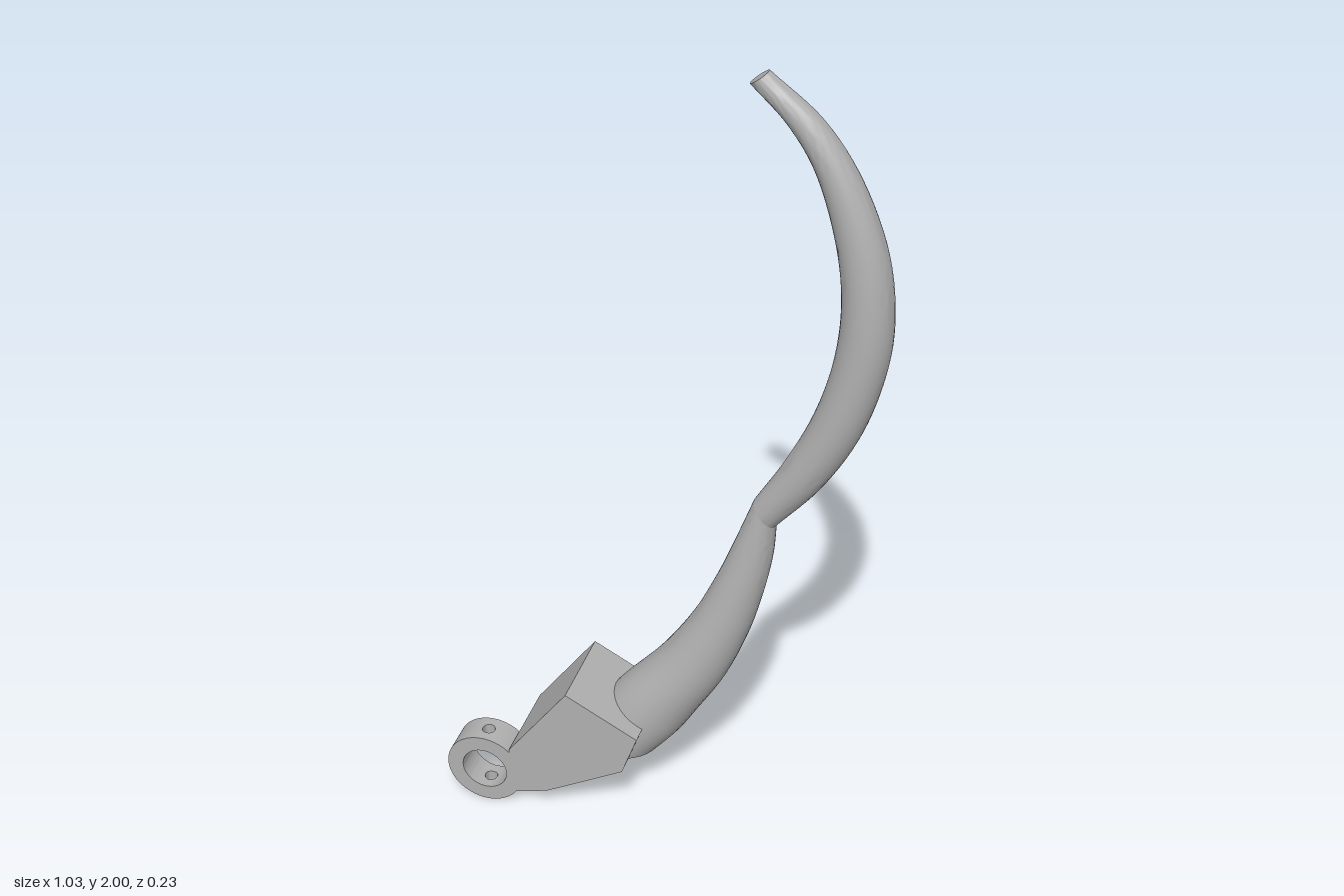
import * as THREE from 'three';
import { mergeGeometries, toCreasedNormals } from 'three/addons/utils/BufferGeometryUtils.js';

const TAU = Math.PI * 2;

// Skin a list of closed point loops; wrap joins the last loop to the first.
function skin(loops, wrap = false) {
  const n = loops[0].length, index = [];
  const rows = wrap ? loops.length : loops.length - 1;
  for (let i = 0; i < rows; i++) {
    const k = (i + 1) % loops.length;
    for (let j = 0; j < n; j++) {
      const m = (j + 1) % n;
      const a = i * n + j, b = k * n + j, c = i * n + m, d = k * n + m;
      index.push(a, b, c, b, d, c);
    }
  }
  const geometry = new THREE.BufferGeometry().setFromPoints(loops.flat());
  geometry.setIndex(index);
  geometry.computeVertexNormals();
  return geometry.toNonIndexed();
}

// Rod through stations [leftX, leftY, rightX, rightY, halfDepth], with end caps.
function rod(stations, steps, sides = 32) {
  const spline = (f) => new THREE.CatmullRomCurve3(stations.map(f), false, 'catmullrom', 0.5);
  const left = spline((s) => new THREE.Vector3(s[0], s[1], 0));
  const right = spline((s) => new THREE.Vector3(s[2], s[3], s[4]));
  const loops = [];
  for (let i = 0; i <= steps; i++) {
    const l = left.getPoint(i / steps), r = right.getPoint(i / steps);
    const mx = (l.x + r.x) / 2, my = (l.y + r.y) / 2;
    const loop = [];
    for (let j = 0; j < sides; j++) {
      const c = Math.cos(j / sides * TAU), s = Math.sin(j / sides * TAU);
      loop.push(new THREE.Vector3(mx + (r.x - mx) * c, my + (r.y - my) * c, -0.02 + r.z * s));
    }
    if (i === 0) loops.push(loop.map(() => new THREE.Vector3(mx, my, -0.02)));
    loops.push(loop);
    if (i === steps) loops.push(loop.map(() => new THREE.Vector3(mx, my, -0.02)));
  }
  return toCreasedNormals(skin(loops), 0.7);
}

// Quarter of the ring wall, pierced by a straight radial pin hole.
function piercedQuarter(angle, inner, outer, halfDepth, hole) {
  const sides = 48, rows = 5, loops = [];
  const addLoop = (radius, t) => {
    const loop = [];
    for (let j = 0; j < sides; j++) {
      const c = Math.cos(j / sides * TAU), s = Math.sin(j / sides * TAU);
      const k = 1 / Math.max(Math.abs(c), Math.abs(s));
      const u = THREE.MathUtils.lerp(Math.asin(hole * c / radius), c * k * Math.PI / 4, t);
      const v = THREE.MathUtils.lerp(hole * s, s * k * halfDepth, t);
      loop.push(new THREE.Vector3(radius * Math.cos(angle + u), radius * Math.sin(angle + u), v));
    }
    loops.push(loop);
  };
  for (let i = 0; i <= rows; i++) addLoop(outer, i / rows);
  for (let i = rows; i >= 0; i--) addLoop(inner, i / rows);
  return skin(loops, true);
}

// Plain quarter of the ring wall.
function plainQuarter(angle, inner, outer, halfDepth) {
  const a = angle - Math.PI / 4, b = angle + Math.PI / 4;
  const shape = new THREE.Shape();
  shape.absarc(0, 0, outer, a, b, false);
  shape.absarc(0, 0, inner, b, a, true);
  const geometry = new THREE.ExtrudeGeometry(shape, { depth: halfDepth * 2, bevelEnabled: false, curveSegments: 12 });
  geometry.translate(0, 0, -halfDepth);
  geometry.deleteAttribute('uv');
  return geometry;
}

export function createModel() {
  const group = new THREE.Group();
  const grey = new THREE.MeshStandardMaterial({ color: 0xb0b0b0 });
  grey.name = 'grey';
  const add = (name, geometry) => {
    const mesh = new THREE.Mesh(geometry, grey);
    mesh.name = name;
    group.add(mesh);
    return mesh;
  };

  // Mounting ring with vertical pin holes
  const size = [0.058, 0.098, 0.04];
  const ring = mergeGeometries([
    piercedQuarter(Math.PI / 2, ...size, 0.016),
    plainQuarter(Math.PI, ...size),
    piercedQuarter(-Math.PI / 2, ...size, 0.016),
    plainQuarter(0, ...size),
  ]);
  add('mountingRing', toCreasedNormals(ring, 0.6)).position.set(-0.418, 0.098, 0.075);

  // Angular bracket block
  const outline = [[-0.35, 0.045], [-0.335, 0.045], [-0.254, 0.069], [-0.055, 0.186],
    [-0.017, 0.297], [-0.197, 0.391], [-0.35, 0.178]];
  const block = new THREE.ExtrudeGeometry(
    new THREE.Shape(outline.map(([x, y]) => new THREE.Vector2(x, y))),
    { depth: 0.22, bevelEnabled: false });
  add('bracket', block.translate(0, 0, -0.105));

  // Tapering lower arm
  add('lowerArm', rod([
    [-0.2, 0.185, 0, 0.185, 0.093],
    [-0.15, 0.29, 0.055, 0.255, 0.094],
    [-0.1, 0.365, 0.1, 0.33, 0.09],
    [0, 0.485, 0.167, 0.45, 0.079],
    [0.08, 0.61, 0.22, 0.59, 0.067],
    [0.14, 0.74, 0.253, 0.72, 0.055],
    [0.185, 0.86, 0.27, 0.82, 0.045],
    [0.222, 0.965, 0.275, 0.905, 0.037],
  ], 42));

  // Curved upper arm
  add('upperArm', rod([
    [0.222, 0.965, 0.275, 0.905, 0.037],
    [0.29, 1.085, 0.375, 1.03, 0.052],
    [0.35, 1.22, 0.452, 1.17, 0.06],
    [0.387, 1.36, 0.498, 1.32, 0.061],
    [0.398, 1.5, 0.513, 1.46, 0.059],
    [0.38, 1.64, 0.493, 1.62, 0.052],
    [0.333, 1.79, 0.43, 1.78, 0.042],
    [0.27, 1.89, 0.343, 1.905, 0.032],
    [0.187, 1.97, 0.226, 2, 0.021],
  ], 48));

  return group;
}
